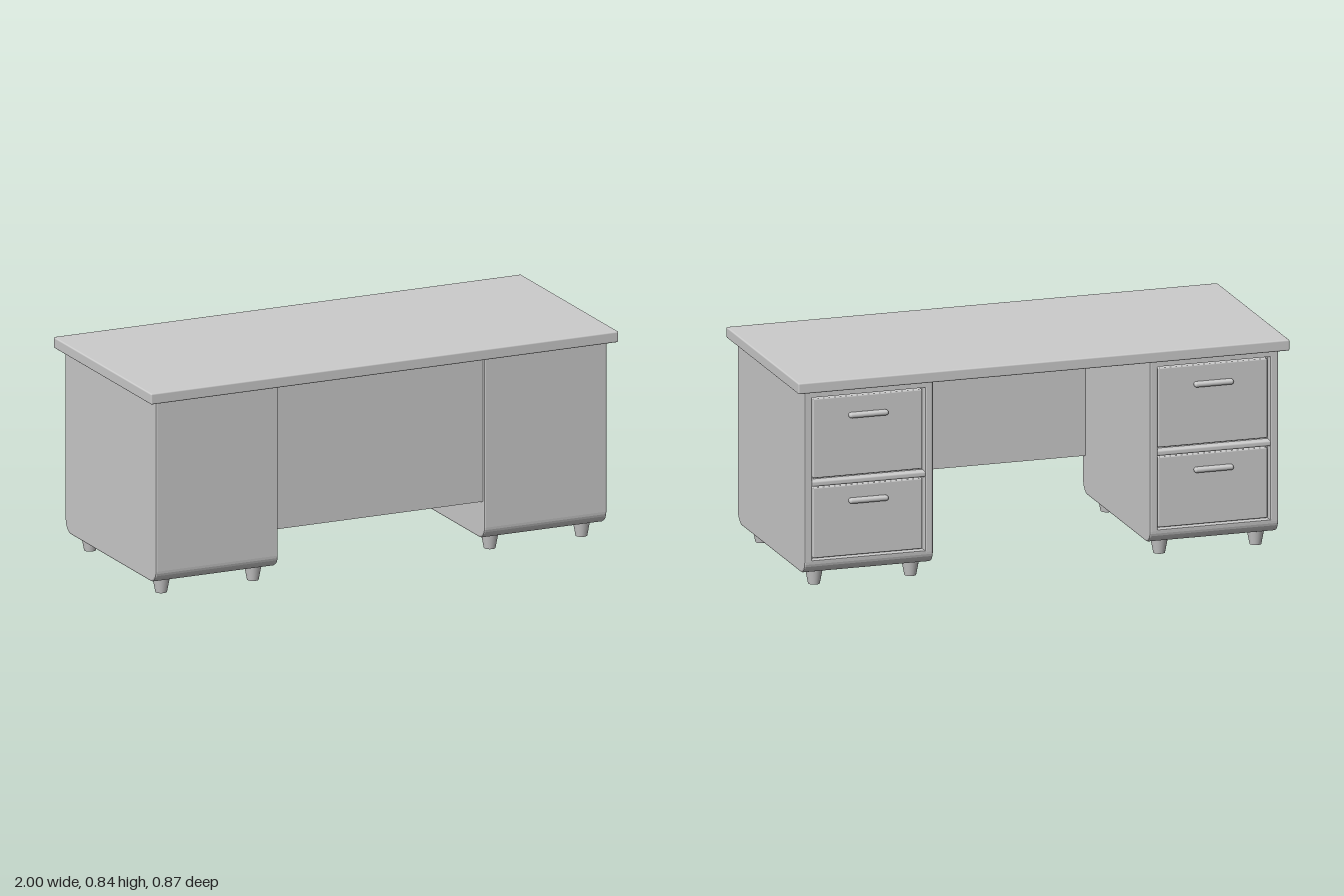
import * as THREE from 'three';
import { RoundedBoxGeometry } from 'three/addons/geometries/RoundedBoxGeometry.js';

const material = new THREE.MeshStandardMaterial({ color: 0xcccccc });
const BACK = 0.405, BOTTOM = 0.06, TOP = 0.797, RADIUS = 0.05;
const X0 = 0.44, X1 = 0.965, WALL = 0.034, BEVEL = 0.007;
const MID = (X0 + X1) / 2, INNER = X1 - X0 - 2 * WALL;

function add(parent, name, geometry, x = 0, y = 0, z = 0) {
  const mesh = new THREE.Mesh(geometry, material);
  mesh.name = name;
  mesh.position.set(x, y, z);
  parent.add(mesh);
  return mesh;
}

function block(w, h, d, r) {
  return new RoundedBoxGeometry(w, h, d, 2, r);
}

// Side outline with rounded lower corners; a drawer notch may be cut in the drawer end
function outline(inset, notched) {
  const e = BACK - inset, b = BOTTOM + inset, r = RADIUS - inset;
  const s = new THREE.Shape();
  s.moveTo(-e, TOP - inset);
  s.lineTo(-e, b + r);
  s.absarc(-e + r, b + r, r, Math.PI, Math.PI * 1.5, false);
  s.lineTo(e - r, b);
  s.absarc(e - r, b + r, r, -Math.PI / 2, 0, false);
  if (notched) {
    s.lineTo(e, 0.115);
    s.lineTo(e - 0.035, 0.115);
    s.lineTo(e - 0.035, 0.768);
    s.lineTo(e, 0.768);
  }
  s.lineTo(e, TOP - inset);
  s.closePath();
  return s;
}

// Extrudes a side outline across x, from x = 0 to the given width
function across(shape, width, bevel) {
  const g = new THREE.ExtrudeGeometry(shape, {
    depth: width - 2 * bevel, curveSegments: 4, bevelEnabled: bevel > 0,
    bevelThickness: bevel, bevelSize: bevel, bevelSegments: 2,
  });
  return g.translate(0, 0, bevel).rotateY(Math.PI / 2);
}

function pedestal(offset) {
  const g = new THREE.Group();

  // Carcass: notched core between two bevelled side walls
  add(g, 'carcass', across(outline(0, true), X1 - X0 - 0.02, 0), X0 + 0.01);
  for (const x of [X0, X1 - WALL]) {
    add(g, 'sideWall', across(outline(BEVEL, false), WALL, BEVEL), x);
  }
  add(g, 'drawerRail', block(INNER + 0.01, 0.024, 0.04, 0.008), MID, 0.421, -BACK + 0.02);

  // Two recessed drawers with bar pulls
  for (const [low, high, pull] of [[0.12, 0.402, 0.34], [0.44, 0.758, 0.682]]) {
    add(g, 'drawerFront', block(INNER - 0.012, high - low, 0.03, 0.005), MID, (low + high) / 2, -0.376);
    add(g, 'drawerHandle', block(0.16, 0.022, 0.028, 0.0105), MID, pull, -0.4);
  }

  // Tapered feet
  for (const x of [0.505, 0.897]) {
    for (const z of [-0.318, 0.318]) {
      add(g, 'foot', new THREE.CylinderGeometry(0.035, 0.023, 0.062, 14), x, 0.031, z);
    }
  }
  g.position.x = offset;
  return g;
}

export function createModel() {
  const desk = new THREE.Group();
  desk.name = 'desk';

  add(desk, 'desktop', block(2, 0.044, 0.874, 0.006), 0, 0.816, 0);
  add(desk, 'modestyPanel', new THREE.BoxGeometry(X0 * 2 + 0.02, 0.585, 0.02), 0, 0.505, 0.382);

  // The pedestals are symmetric, so the second is a shifted copy
  const left = pedestal(0), right = pedestal(-2 * MID);
  left.name = 'leftPedestal';
  right.name = 'rightPedestal';
  desk.add(left, right);
  return desk;
}
